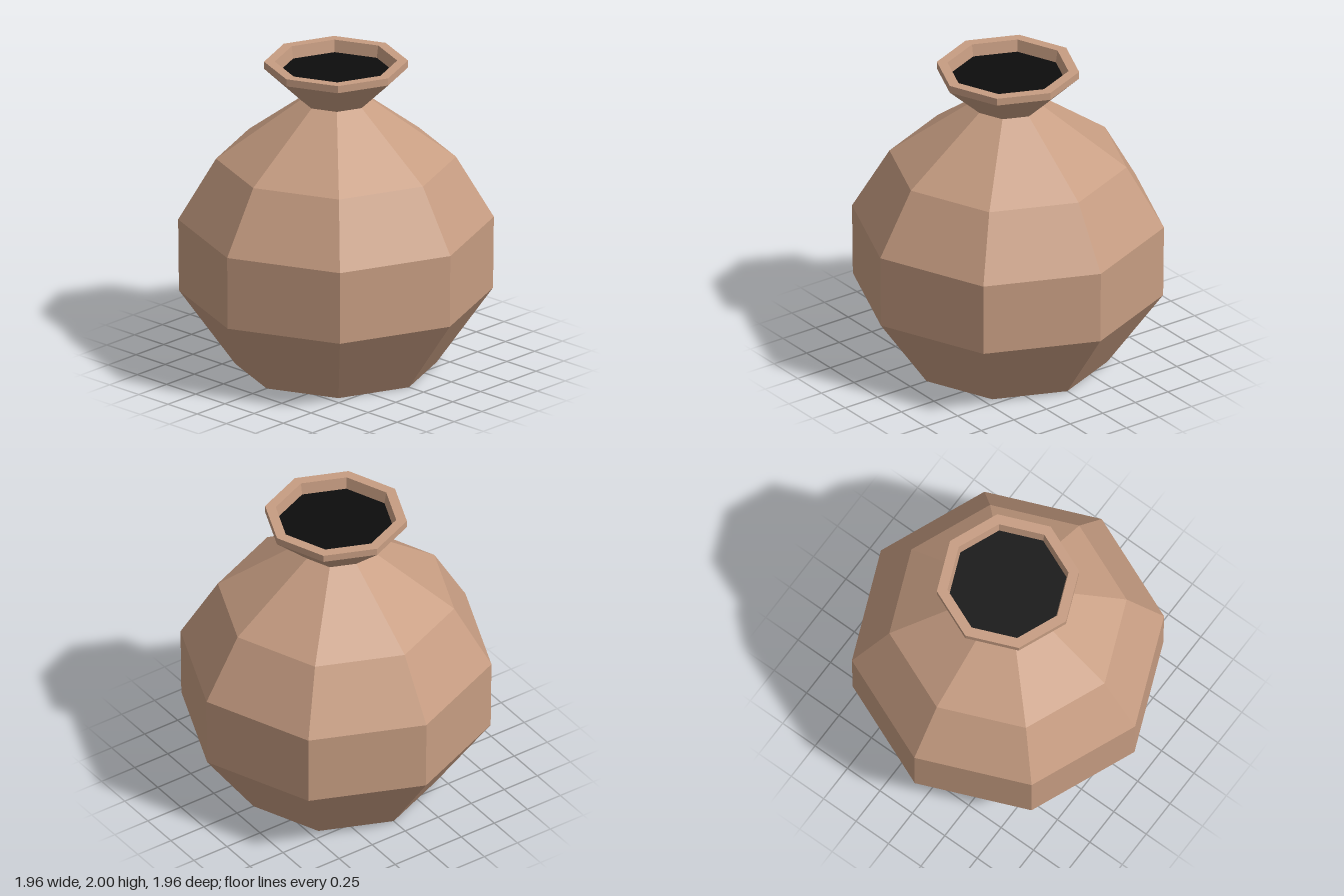
import * as THREE from 'three';

const SIDES = 8;

export function createModel() {
  const clay = new THREE.MeshStandardMaterial({ color: 0xc79d82, flatShading: true });
  clay.name = 'clay';
  const dark = new THREE.MeshStandardMaterial({ color: 0x0d0d0d, flatShading: true });
  dark.name = 'darkInside';

  const pot = new THREE.Group();
  pot.name = 'pot';

  // Turns a [radius, height] profile into a faceted eight-sided part
  const turned = (name, profile, material) => {
    const points = profile.map(([r, y]) => new THREE.Vector2(r, y));
    const geometry = new THREE.LatheGeometry(points, SIDES).toNonIndexed();
    geometry.computeVertexNormals();
    const mesh = new THREE.Mesh(geometry, material);
    mesh.name = name;
    pot.add(mesh);
  };

  // Closed base and rounded belly, narrowing to the neck
  turned('body', [[0, 0], [0.625, 0], [0.975, 0.49], [0.98, 0.96], [0.745, 1.36], [0.22, 1.745]], clay);

  // Flared collar with a thick lip and a shallow inner wall
  turned('rim', [[0.22, 1.745], [0.447, 1.953], [0.447, 2], [0.38, 2], [0.366, 1.915]], clay);

  // Dark surface filling the mouth
  turned('mouth', [[0.368, 1.922], [0, 1.922]], dark);

  return pot;
}
